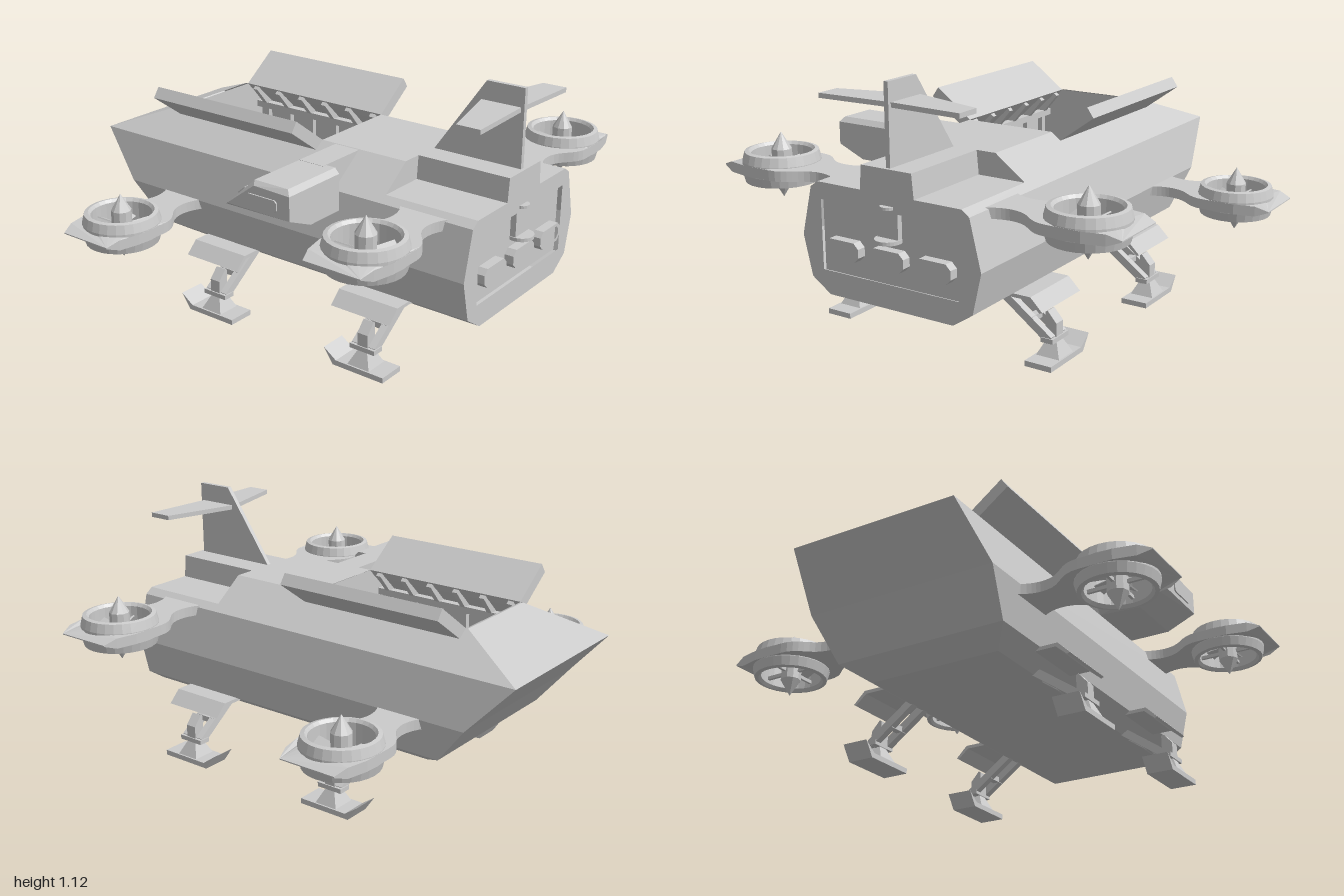
import * as THREE from 'three';
import { ConvexGeometry } from 'three/addons/geometries/ConvexGeometry.js';

const mat = new THREE.MeshStandardMaterial({ color: 0xcccccc, flatShading: true });
const shellMat = new THREE.MeshStandardMaterial({ color: 0xcccccc, flatShading: true, side: THREE.DoubleSide });

function add(parent, name, geometry, material = mat) {
  const m = new THREE.Mesh(geometry, material);
  m.name = name;
  parent.add(m);
  return m;
}
function box(parent, name, x0, x1, y0, y1, z0, z1) {
  const m = add(parent, name, new THREE.BoxGeometry(x1 - x0, y1 - y0, z1 - z0));
  m.position.set((x0 + x1) / 2, (y0 + y1) / 2, (z0 + z1) / 2);
  return m;
}
// Square bar between two points lying in one plane of constant x
function bar(parent, name, p, q, w, d) {
  const a = new THREE.Vector3(...p), b = new THREE.Vector3(...q), dir = b.clone().sub(a);
  const m = add(parent, name, new THREE.BoxGeometry(w, dir.length(), d));
  m.position.copy(a).add(b).multiplyScalar(0.5);
  m.quaternion.setFromUnitVectors(new THREE.Vector3(0, 1, 0), dir.normalize());
  return m;
}
const path = (pts, T = THREE.Shape) => new T(pts.map(([a, b]) => new THREE.Vector2(a, b)));
// Extrude a (z, y) outline from x0 to x1
function extrudeX(pts, x0, x1, holes = []) {
  const flip = l => l.map(([z, y]) => [-z, y]);
  const s = path(flip(pts));
  holes.forEach(h => s.holes.push(path(flip(h), THREE.Path)));
  return new THREE.ExtrudeGeometry(s, { depth: x1 - x0, bevelEnabled: false }).rotateY(Math.PI / 2).translate(x0, 0, 0);
}
// Extrude an (x, y) outline from z0 to z1
const extrudeZ = (pts, z0, z1) =>
  new THREE.ExtrudeGeometry(path(pts), { depth: z1 - z0, bevelEnabled: false }).translate(0, 0, z0);
const convex = pts => new ConvexGeometry(pts.map(p => new THREE.Vector3(...p)));
// Flat polygons, fanned into triangles
function polygons(list) {
  const out = [];
  for (const p of list) for (let i = 1; i < p.length - 1; i++) out.push(...p[0], ...p[i], ...p[i + 1]);
  const g = new THREE.BufferGeometry();
  g.setAttribute('position', new THREE.Float32BufferAttribute(out, 3));
  g.computeVertexNormals();
  return g;
}
const rect = (cz, cy, w, h, c = 0) => c
  ? [[cz - w + c, cy - h], [cz + w - c, cy - h], [cz + w, cy - h + c], [cz + w, cy + h - c],
    [cz + w - c, cy + h], [cz - w + c, cy + h], [cz - w, cy + h - c], [cz - w, cy - h + c]]
  : [[cz - w, cy - h], [cz + w, cy - h], [cz + w, cy + h], [cz - w, cy + h]];

function buildHull(root) {
  // Levels: height, half width, front x, rear x
  const L = [[0.23, 0.3, -0.56, 0.93], [0.29, 0.39, -0.67, 0.93], [0.46, 0.43, -0.81, 0.93],
    [0.665, 0.38, -1, 0.93], [0.79, 0.21, -0.68, 0.53]];
  const F = (l, s) => [l[2], l[0], s * l[1]], R = (l, s) => [l[3], l[0], s * l[1]];
  const faces = [[F(L[0], 1), F(L[0], -1), R(L[0], -1), R(L[0], 1)]];
  for (let i = 0; i < 4; i++) {
    const a = L[i], b = i === 3 ? L[4] : L[i + 1], low = i === 3 ? [a[0], a[1], a[2], 0.53] : a;
    for (const s of [1, -1]) {
      const q = [F(low, s), R(low, s), R(b, s), F(b, s)];
      faces.push(s > 0 ? q : q.reverse());
    }
    faces.push([F(a, -1), F(a, 1), F(b, 1), F(b, -1)]);
  }
  // Roof around the open hatch, and the step down to the rear deck
  faces.push([[0.11, 0.79, 0.21], [0.53, 0.79, 0.21], [0.53, 0.79, -0.21], [0.11, 0.79, -0.21]]);
  faces.push([[0.53, 0.665, 0.38], [0.53, 0.665, -0.38], [0.53, 0.79, -0.21], [0.53, 0.79, 0.21]]);
  add(root, 'hull', polygons(faces), shellMat);

  // Cargo bay walls and floor
  const x0 = -0.67, x1 = 0.11, y0 = 0.4;
  const section = [[-0.21, 0.789], [-0.31, 0.69], [-0.31, y0], [0.31, y0], [0.31, 0.69], [0.21, 0.789]];
  const bay = [x0, x1].map(x => section.map(([z, y]) => [x, y, z]));
  for (let i = 0; i < 5; i++)
    bay.push([[x0, section[i][1], section[i][0]], [x1, section[i][1], section[i][0]],
      [x1, section[i + 1][1], section[i + 1][0]], [x0, section[i + 1][1], section[i + 1][0]]]);
  add(root, 'cargoBay', polygons(bay), shellMat);

  // Rear door frame with recessed door
  const outline = [];
  for (const l of L.slice(0, 4)) outline.push([l[1], l[0]]);
  for (const l of L.slice(0, 4).reverse()) outline.push([-l[1], l[0]]);
  add(root, 'rearFrame', extrudeX(outline, 0.92, 0.95, [rect(0, 0.475, 0.33, 0.145)]));
  box(root, 'rearDoor', 0.9, 0.925, 0.32, 0.63, -0.34, 0.34);
  for (const z of [-0.22, 0, 0.22]) {
    add(root, 'rearWindowFrame', extrudeX(rect(z, 0.432, 0.083, 0.04, 0.022), 0.92, 0.965, [rect(z, 0.432, 0.068, 0.027, 0.016)]));
    add(root, 'rearWindow', extrudeX(rect(z, 0.432, 0.07, 0.03, 0.016), 0.92, 0.945));
  }
  box(root, 'rearColumn', 0.92, 0.95, 0.51, 0.62, -0.05, 0.05);
  add(root, 'rearStep', new THREE.CylinderGeometry(0.055, 0.055, 0.015, 24)).position.set(0.945, 0.51, 0);
  add(root, 'rearLamp', new THREE.CylinderGeometry(0.032, 0.032, 0.012, 16)).position.set(0.943, 0.64, 0);

  // Sunken rear deck with raised spine
  add(root, 'rearDeck', extrudeX([[-0.38, 0.665], [0.38, 0.665], [0.345, 0.69], [-0.345, 0.69]], 0.53, 0.95));
  add(root, 'rearSpine', extrudeX([[-0.13, 0.68], [0.13, 0.68], [0.12, 0.79], [-0.12, 0.79]], 0.53, 0.95));
}

// Parts that repeat on both sides, built for +z
function buildSide(g) {
  add(g, 'hatchDoor', extrudeX([[0.21, 0.79], [0.245, 0.752], [0.41, 0.872], [0.38, 0.915]], -0.67, 0.11));
  box(g, 'bench', -0.64, 0.08, 0.4, 0.5, 0.22, 0.308);
  for (let i = 0; i < 6; i++) {
    const x = -0.62 + i * 0.136;
    bar(g, 'bayRib', [x, 0.5, 0.3], [x, 0.68, 0.3], 0.025, 0.03);
    bar(g, 'bayRib', [x, 0.68, 0.3], [x, 0.78, 0.215], 0.025, 0.03);
  }
  box(g, 'bayRail', -0.67, 0.11, 0.66, 0.69, 0.275, 0.31);
  for (const x of [-0.235, 0.555]) {
    const leg = new THREE.Group();
    leg.name = 'landingLeg';
    leg.position.x = x;
    g.add(leg);
    buildLeg(leg);
  }
  buildEngine(g, 'frontEngine', -0.505, 0.44, 0.79);
  buildEngine(g, 'rearEngine', 0.725, 0.65, 0.745);
  // Swept tailplane half
  const plane = path([[0.74, 0], [0.83, 0.332], [0.935, 0.332], [0.92, 0]]);
  add(g, 'tailplane', new THREE.ExtrudeGeometry(plane, { depth: 0.02, bevelEnabled: false }).rotateX(Math.PI / 2).translate(0, 1.04, 0));
}

function buildLeg(g) {
  // Folded bay flap
  add(g, 'legFlap', extrudeX([[0.36, 0.275], [0.46, 0.275], [0.51, 0.232], [0.522, 0.237], [0.468, 0.29], [0.38, 0.29]], -0.16, 0.125));
  for (const x of [-0.04, 0.04]) bar(g, 'strut', [x, 0.26, 0.28], [x, 0.095, 0.51], 0.032, 0.035);
  box(g, 'strutBrace', -0.05, 0.05, 0.15, 0.175, 0.4, 0.43);
  add(g, 'shin', extrudeX([[0.475, 0.1], [0.525, 0.1], [0.525, 0.16], [0.485, 0.205], [0.475, 0.2]], -0.025, 0.025));
  box(g, 'ankleBlock', -0.06, 0.06, 0.085, 0.105, 0.475, 0.53);
  const ankle = add(g, 'ankle', new THREE.CylinderGeometry(0.03, 0.075, 0.065, 4).rotateY(Math.PI / 4));
  ankle.position.set(0, 0.055, 0.502);
  add(g, 'foot', extrudeZ([[-0.165, 0.065], [-0.12, 0], [0.125, 0], [0.125, 0.023], [-0.105, 0.023]], 0.442, 0.562));
}

function buildEngine(parent, name, x, y, z) {
  const g = new THREE.Group();
  g.name = name;
  g.position.set(x, y, z);
  parent.add(g);
  // Waisted wing plate with a duct opening and a sharpened tip
  const s = new THREE.Shape();
  s.moveTo(-0.13, -0.4);
  s.bezierCurveTo(-0.08, -0.35, -0.075, -0.29, -0.08, -0.26);
  s.bezierCurveTo(-0.09, -0.18, -0.165, -0.17, -0.165, -0.08);
  for (const [u, v] of [[-0.165, 0.06], [-0.145, 0.15], [-0.127, 0.205], [0.127, 0.205], [0.145, 0.15], [0.165, 0.06], [0.165, -0.08]]) s.lineTo(u, v);
  s.bezierCurveTo(0.165, -0.17, 0.09, -0.18, 0.08, -0.26);
  s.bezierCurveTo(0.075, -0.29, 0.08, -0.35, 0.13, -0.4);
  s.holes.push(new THREE.Path().absarc(0, 0, 0.135, 0, Math.PI * 2, true));
  const plate = new THREE.ExtrudeGeometry(s, { depth: 0.044, bevelEnabled: false, curveSegments: 8 }).rotateX(Math.PI / 2).translate(0, 0.022, 0);
  const p = plate.attributes.position;
  for (let i = 0; i < p.count; i++) if (p.getZ(i) > 0.2) p.setY(i, p.getY(i) * 0.1);
  plate.computeVertexNormals();
  add(g, 'wingPlate', plate);
  // Duct, hub cones, blades and stays
  const duct = [[0.128, -0.055], [0.138, -0.068], [0.155, -0.064], [0.165, -0.025], [0.165, 0.025], [0.155, 0.064], [0.138, 0.068], [0.128, 0.055], [0.128, -0.055]];
  add(g, 'duct', new THREE.LatheGeometry(duct.map(d => new THREE.Vector2(...d)), 28));
  const hub = [[0.001, -0.14], [0.043, -0.07], [0.043, 0.07], [0.001, 0.14]];
  add(g, 'spinner', new THREE.LatheGeometry(hub.map(d => new THREE.Vector2(...d)), 10));
  for (let i = 0; i < 6; i++) {
    const pivot = new THREE.Group();
    pivot.rotation.y = i * Math.PI / 3;
    g.add(pivot);
    const blade = add(pivot, 'blade', convex([-1, 1].flatMap(h =>
      [[0.03, 0.003 * h, -0.01], [0.03, 0.003 * h, 0.01], [0.125, 0.003 * h, -0.026], [0.125, 0.003 * h, 0.026]])));
    blade.rotation.x = 0.5;
  }
  for (const a of [0, Math.PI / 2]) box(g, 'stay', -0.132, 0.132, -0.04, -0.025, -0.006, 0.006).rotation.y = a;
}

function buildPod(root) {
  // Sensor pod on the left flank, carried by a roof arm
  const g = new THREE.Group();
  g.name = 'sidePod';
  root.add(g);
  box(g, 'podArm', 0.18, 0.3, 0.68, 0.788, 0.2, 0.45);
  add(g, 'podBody', convex([
    [0.025, 0.65, 0.43], [0.06, 0.61, 0.43], [0.365, 0.61, 0.43], [0.365, 0.765, 0.43], [0.345, 0.787, 0.43], [0.18, 0.787, 0.43],
    [0.02, 0.645, 0.45], [0.02, 0.645, 0.71], [0.05, 0.665, 0.738], [0.08, 0.61, 0.61], [0.365, 0.61, 0.61],
    [0.365, 0.665, 0.738], [0.365, 0.765, 0.738], [0.345, 0.787, 0.72], [0.18, 0.787, 0.72], [0.19, 0.77, 0.738]]));
  const frame = extrudeX(rect(0, 0, 0.125, 0.03, 0.008), -0.006, 0.006, [rect(0, 0, 0.112, 0.018)]);
  const slot = add(g, 'podSlot', frame);
  slot.position.set(0.1, 0.717, 0.58);
  slot.rotation.z = -0.87 + Math.PI;
  const side = add(g, 'podSideWindow', extrudeX(rect(0, 0, 0.075, 0.025, 0.01), -0.006, 0.006, [rect(0, 0, 0.063, 0.015)]));
  side.position.set(0.23, 0.71, 0.738);
  side.rotation.y = Math.PI / 2;
}

export function createModel() {
  const root = new THREE.Group();
  root.name = 'dropship';
  buildHull(root);
  for (const s of [1, -1]) {
    const g = new THREE.Group();
    g.name = s > 0 ? 'leftSide' : 'rightSide';
    g.scale.z = s;
    root.add(g);
    buildSide(g);
  }
  buildPod(root);
  add(root, 'tailFin', extrudeZ([[0.53, 0.785], [0.765, 1.12], [0.935, 1.12], [0.935, 0.785]], -0.01, 0.01));
  return root;
}
